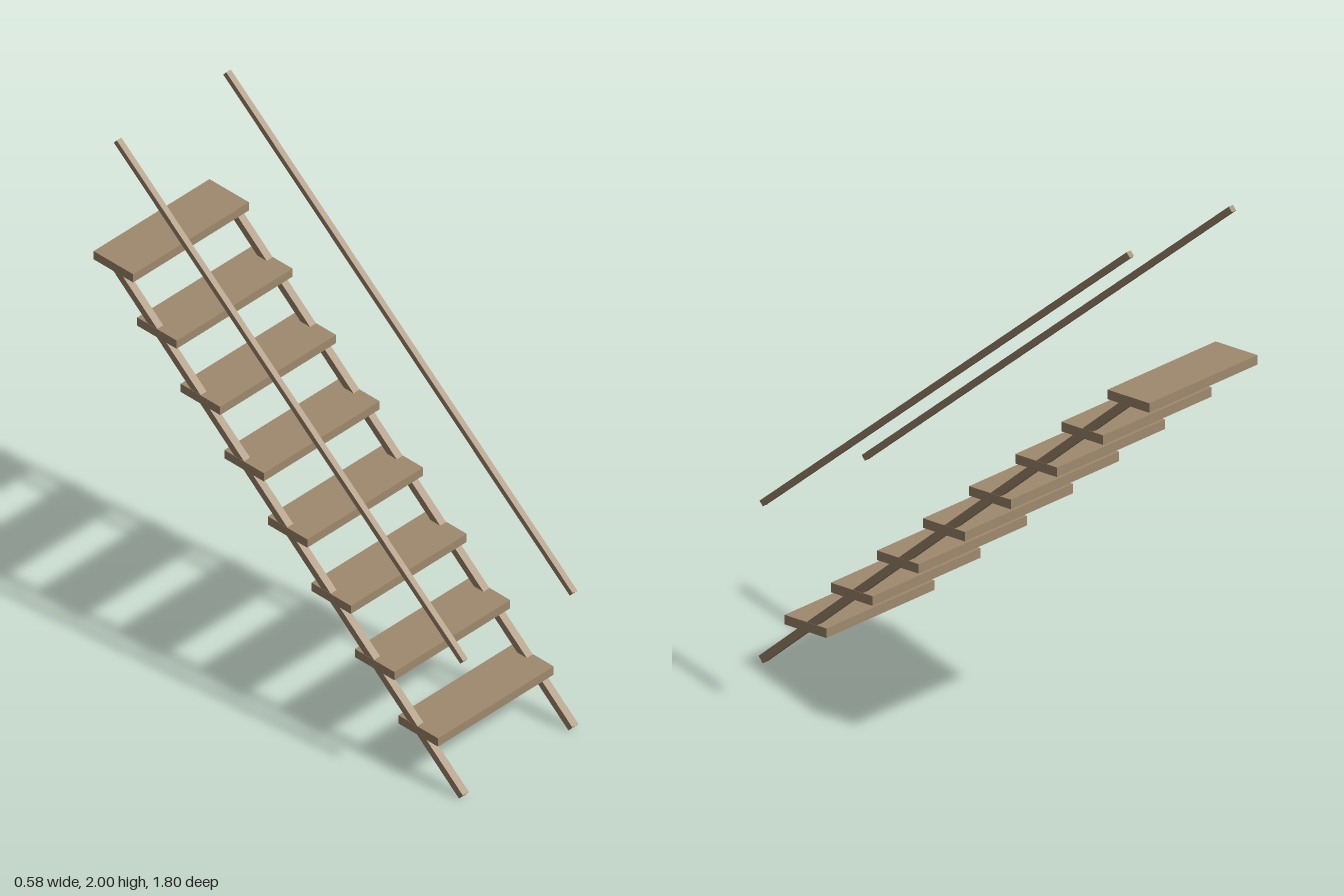
import * as THREE from 'three';

const wood = new THREE.MeshStandardMaterial({ color: 0xa08a6e, flatShading: true });

// Square bar running between two points of the side plane
function bar(name, x, [y0, z0], [y1, z1], width, depth) {
  const length = Math.hypot(y1 - y0, z1 - z0);
  const mesh = new THREE.Mesh(new THREE.BoxGeometry(width, length, depth), wood);
  mesh.name = name;
  mesh.position.set(x, (y0 + y1) / 2, (z0 + z1) / 2);
  mesh.rotation.x = Math.atan2(z1 - z0, y1 - y0);
  return mesh;
}

export function createModel() {
  const stairs = new THREE.Group();
  stairs.name = 'openStaircase';

  // Treads, from the lowest to the highest
  const count = 8;
  const treadGeometry = new THREE.BoxGeometry(0.58, 0.036, 0.192);
  for (let i = 0; i < count; i++) {
    const t = i / (count - 1);
    const tread = new THREE.Mesh(treadGeometry, wood);
    tread.name = `tread${i + 1}`;
    tread.position.set(0, THREE.MathUtils.lerp(0.193, 1.442, t), THREE.MathUtils.lerp(0.68, -0.803, t));
    stairs.add(tread);
  }

  // Sloping stringers and the handrails floating above them
  for (const [side, s] of [['left', 1], ['right', -1]]) {
    stairs.add(
      bar(`${side}Stringer`, s * 0.274, [0.012, 0.887], [1.442, -0.803], 0.03, 0.03),
      bar(`${side}Handrail`, s * 0.274, [0.6, 0.888], [1.991, -0.798], 0.023, 0.023)
    );
  }
  return stairs;
}
